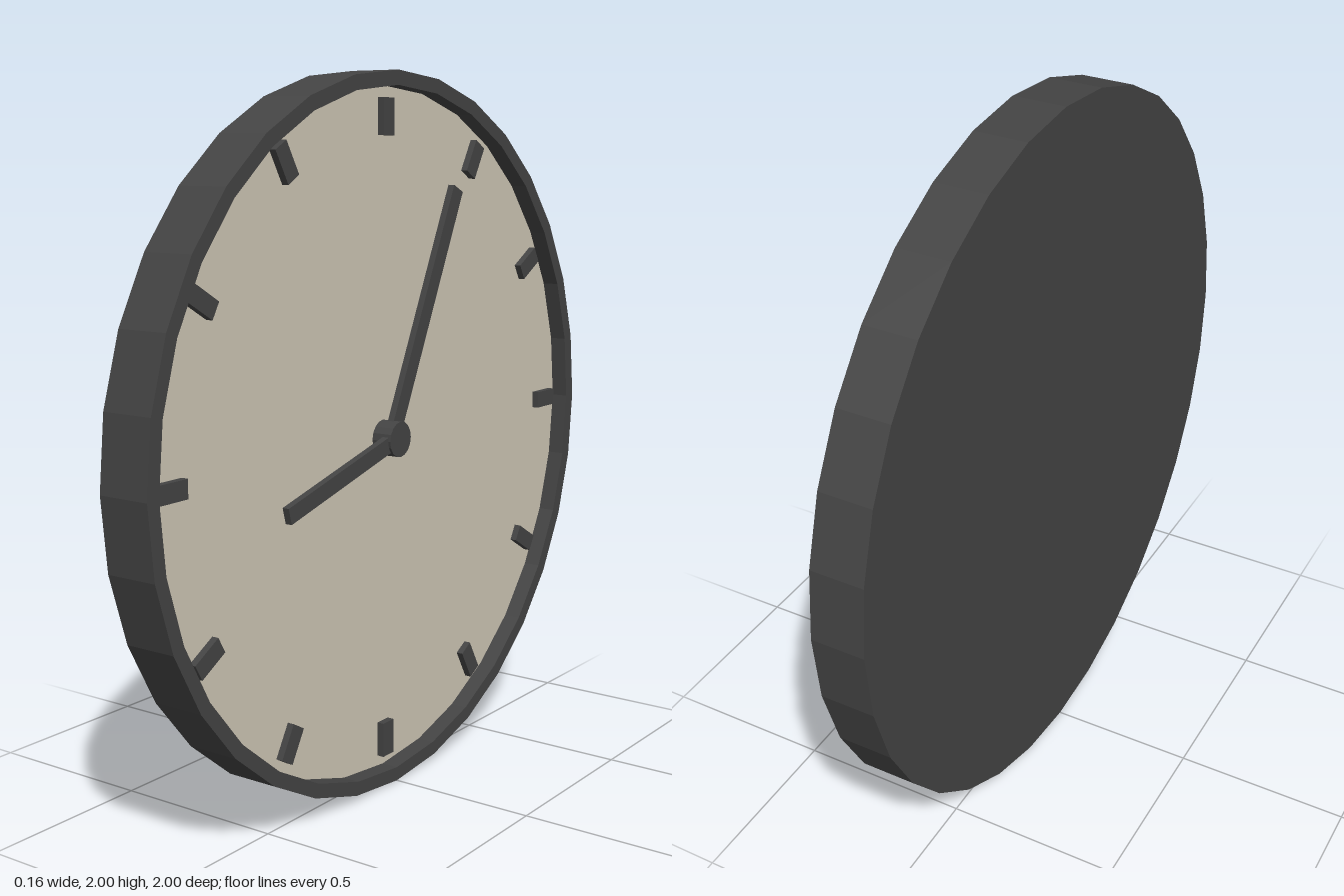
import * as THREE from 'three';

// Wall clock whose dial looks along +x
export function createModel() {
  const clock = new THREE.Group();
  clock.name = 'wallClock';
  const dark = new THREE.MeshStandardMaterial({ color: 0x444444, flatShading: true });
  const cream = new THREE.MeshStandardMaterial({ color: 0xcec6b5, flatShading: true });

  const add = (name, geometry, material = dark, parent = clock) => {
    const mesh = new THREE.Mesh(geometry, material);
    mesh.name = name;
    parent.add(mesh);
    return mesh;
  };

  // Bar lying on the dial: angle is clockwise from twelve as seen from the front
  const addBar = (name, angle, inner, outer, width, back, front) => {
    const bar = new THREE.BoxGeometry(front - back, outer - inner, width);
    bar.translate((front + back) / 2, (inner + outer) / 2, 0);
    add(name, bar).rotation.x = -angle;
  };

  // Case: closed back, outer wall, rim and inner wall, turned in 32 sides
  const profile = [[0, -0.08], [1, -0.08], [1, 0.07], [0.96, 0.07], [0.96, 0.02]]
    .map(([r, h]) => new THREE.Vector2(r, h));
  add('case', new THREE.LatheGeometry(profile, 32).rotateZ(-Math.PI / 2));

  // Recessed dial
  add('dial', new THREE.CircleGeometry(0.96, 32).rotateY(Math.PI / 2).translate(0.02, 0, 0), cream);

  // Twelve hour markers
  for (let i = 0; i < 12; i++) {
    addBar('hourMarker' + (i + 1), (i + 1) * Math.PI / 6, 0.828, 0.928, 0.05, 0.02, 0.04);
  }

  // Hands and centre hub
  addBar('minuteHand', THREE.MathUtils.degToRad(25), 0, 0.75, 0.05, 0.04, 0.06);
  addBar('hourHand', THREE.MathUtils.degToRad(255), 0, 0.5, 0.046, 0.053, 0.073);
  add('hub', new THREE.CylinderGeometry(0.05, 0.05, 0.06, 16).rotateZ(-Math.PI / 2).translate(0.05, 0, 0));

  clock.position.y = 1;
  const model = new THREE.Group();
  model.add(clock);
  return model;
}
